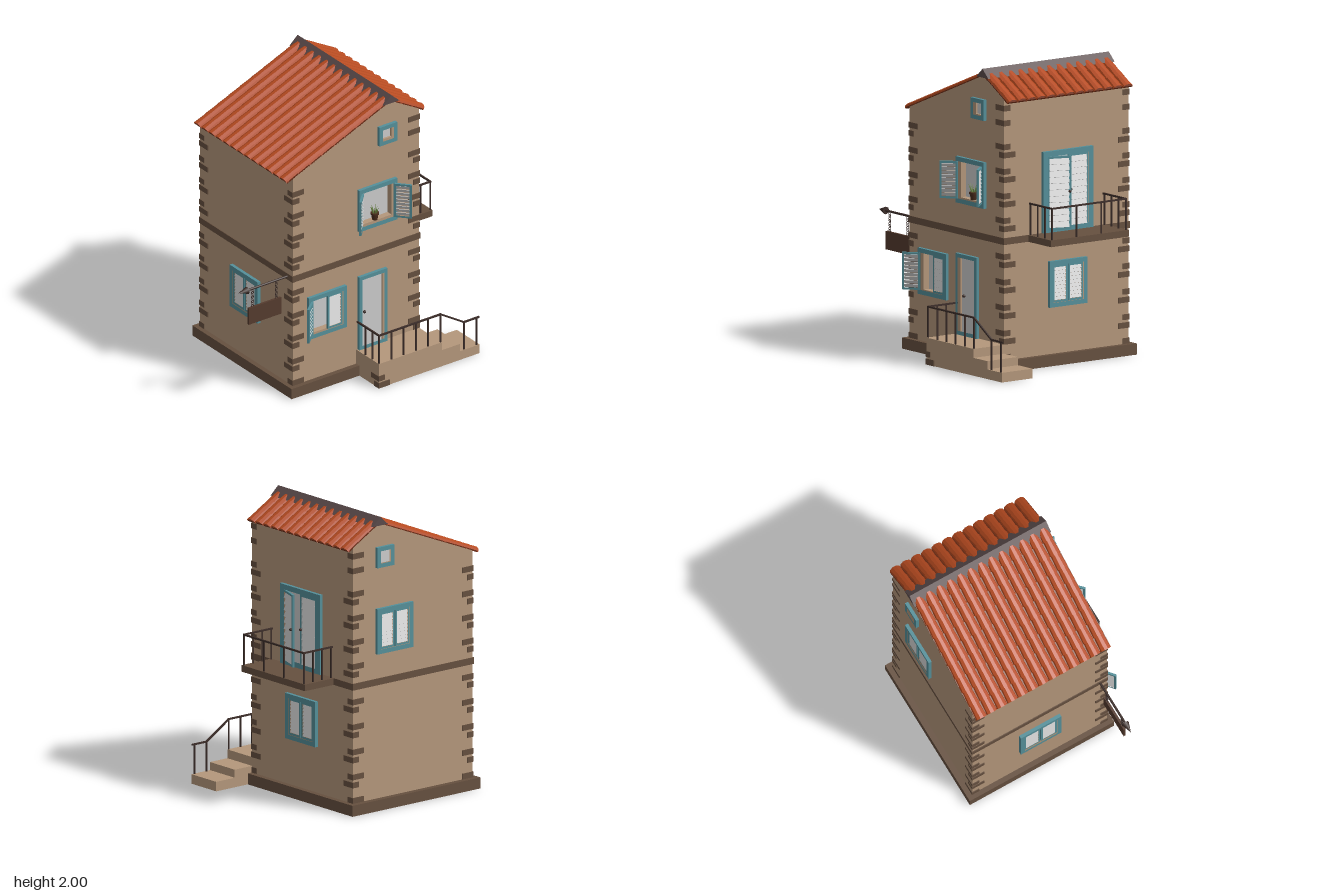
import * as THREE from 'three';
import { mergeGeometries } from 'three/addons/utils/BufferGeometryUtils.js';

const mat = (color, extra = {}) => Object.assign(new THREE.MeshStandardMaterial({ color }), extra);
const M = {
  wall: mat(0xb4977b), stone: mat(0x66503f), teal: mat(0x55909a), grey: mat(0xcccccc),
  tile: mat(0xb54a20, { flatShading: true, side: THREE.DoubleSide }), under: mat(0x6b2c16),
  ridge: mat(0x5a4a4a), iron: mat(0x3d2e2a), wood: mat(0x553b2e), pot: mat(0x4a2c1c),
  leaf: mat(0x5f7a38, { side: THREE.DoubleSide }),
};

function mesh(parent, name, geo, m, x = 0, y = 0, z = 0) {
  const o = new THREE.Mesh(geo, m);
  o.name = name;
  o.position.set(x, y, z);
  parent.add(o);
  return o;
}

// box given by its extents
const box = (parent, name, m, x0, x1, y0, y1, z0, z1) => mesh(parent, name,
  new THREE.BoxGeometry(x1 - x0, y1 - y0, z1 - z0), m, (x0 + x1) / 2, (y0 + y1) / 2, (z0 + z1) / 2);

function group(parent, name, x = 0, y = 0, z = 0, ry = 0) {
  const g = new THREE.Group();
  g.name = name;
  g.position.set(x, y, z);
  g.rotation.y = ry;
  parent.add(g);
  return g;
}

// square bar between two points
function bar(parent, name, a, b, t = 0.011) {
  const A = new THREE.Vector3(...a), B = new THREE.Vector3(...b);
  const o = mesh(parent, name, new THREE.BoxGeometry(t, t, A.distanceTo(B) + t), M.iron);
  o.position.addVectors(A, B).multiplyScalar(0.5);
  o.lookAt(B);
}

const rectPath = (x0, x1, y0, y1) => new THREE.Path([[x0, y0], [x0, y1], [x1, y1], [x1, y0]].map(p => new THREE.Vector2(...p)));
const extrude = (shape, depth) => new THREE.ExtrudeGeometry(shape, { depth, bevelEnabled: false });

// rectangular frame centred on its group, facing +z
function frame(parent, w, h, t, depth = 0.028) {
  const s = new THREE.Shape(rectPath(-w / 2, w / 2, -h / 2, h / 2).getPoints());
  s.holes.push(rectPath(t - w / 2, w / 2 - t, t - h / 2, h / 2 - t));
  return mesh(parent, 'frame', extrude(s, depth), M.teal, 0, 0, -0.005);
}

// louvred leaf hinged at its group's origin, reaching towards dir * x
function shutter(parent, x, z, w, h, dir, angle = 0, pitch = 0.025) {
  const hinge = group(parent, 'shutter', x, 0, z, angle);
  const leaf = group(hinge, 'louvredLeaf', dir * w / 2);
  frame(leaf, w, h, 0.014, 0.015);
  const n = Math.round((h - 0.028) / pitch), step = (h - 0.028) / n, slats = [];
  for (let i = 0; i < n; i++) {
    slats.push(new THREE.BoxGeometry(w - 0.028, step * 0.95, 0.004).rotateX(-0.4)
      .translate(0, -h / 2 + 0.014 + (i + 0.5) * step, 0.003));
  }
  mesh(leaf, 'slats', mergeGeometries(slats), M.grey);
  return leaf;
}

// window frame with two leaves; angles of null leave a leaf out
function shutteredWindow(parent, name, x, y, z, ry, left = 0, right = 0) {
  const g = group(parent, name, x, y, z, ry);
  frame(g, 0.31, 0.31, 0.03);
  shutter(g, -0.125, left ? 0.025 : 0.006, 0.122, 0.25, 1, left);
  shutter(g, 0.125, right ? 0.025 : 0.006, 0.122, 0.25, -1, right);
}

const X0 = -0.47, X1 = 0.565, Z0 = -0.625, Z1 = 0.405;

function buildWalls(house) {
  const outline = () => new THREE.Shape([[X0, 0], [X1, 0], [X1, 1.823], [0.335, 1.953], [X0, 1.626]].map(p => new THREE.Vector2(...p)));
  mesh(house, 'walls', extrude(outline(), 0.98), M.wall, 0, 0, Z0);
  const front = outline();
  const holes = [[0.09, 0.34, 1.1, 1.345], [-0.32, -0.075, 0.42, 0.67], [0.085, 0.265, 0.18, 0.7], [0.255, 0.34, 1.685, 1.765]];
  front.holes.push(...holes.map(h => rectPath(...h)));
  mesh(house, 'frontWall', extrude(front, 0.05), M.wall, 0, 0, 0.355);
  holes.forEach(h => box(house, 'pane', M.grey, ...h, 0.35, 0.36));
  box(house, 'plinth', M.stone, -0.505, 0.602, 0, 0.075, -0.665, 0.44);
  box(house, 'floorBand', M.stone, X0 - 0.006, X1 + 0.006, 0.85, 0.895, Z0 - 0.006, Z1 + 0.006);

  // corner stones alternate their long side between the two faces
  const quoins = group(house, 'cornerStones');
  for (const sx of [-1, 1]) for (const sz of [-1, 1]) {
    const cx = sx < 0 ? X0 : X1, cz = sz < 0 ? Z0 : Z1;
    const stone = (y, long) => {
      const w = long ? 0.09 : 0.05, d = long ? 0.05 : 0.09, e = 0.005;
      mesh(quoins, 'cornerStone', new THREE.BoxGeometry(w + e, 0.038, d + e), M.stone,
        cx - sx * (w - e) / 2, y, cz - sz * (d - e) / 2);
    };
    stone(0.095, true);
    for (let i = 0; i < 4; i++) {
      stone(0.255 + i * 0.171, true);
      stone(0.2 + i * 0.171, false);
      stone(1.01 + i * 0.165, true);
      stone(0.955 + i * 0.165, false);
    }
    if (sx > 0) { stone(1.665, true); stone(1.765, true); }
  }
}

function buildRoof(house) {
  const roof = group(house, 'roof');
  const rows = 13, pitch = 1.03 / rows;
  const side = (name, ex, ey, courses) => {
    const eave = new THREE.Vector3(ex, ey, 0), ridge = new THREE.Vector3(0.335, 1.955, 0);
    const len = eave.distanceTo(ridge), u = ridge.clone().sub(eave).normalize();
    const n = new THREE.Vector3(-u.y, u.x, 0).multiplyScalar(Math.sign(u.x));
    const g = group(roof, name, ex, ey, (Z0 + Z1) / 2);
    g.quaternion.setFromRotationMatrix(new THREE.Matrix4().makeBasis(u.clone().cross(n), u, n));
    mesh(g, 'roofBoard', new THREE.BoxGeometry(1.03, len, 0.01), M.under, 0, len / 2, 0);
    const step = len / courses, tiles = [];
    for (let r = 0; r < rows; r++) for (let c = 0; c < courses; c++) {
      tiles.push(new THREE.CylinderGeometry(0.034, 0.041, step * 1.1, 5, 1, true, -Math.PI / 2, Math.PI)
        .scale(1, 1, 0.75).rotateX(0.04).translate((r + 0.5 - rows / 2) * pitch, (c + 0.5) * step, 0.002));
    }
    mesh(g, 'tiles', mergeGeometries(tiles), M.tile);
  };
  side('longSlope', -0.515, 1.61, 9);
  side('shortSlope', 0.6, 1.805, 3);
  const cap = new THREE.Shape([[0.27, 1.94], [0.4, 1.94], [0.335, 1.999]].map(p => new THREE.Vector2(...p)));
  mesh(roof, 'ridgeCap', extrude(cap, 1.045), M.ridge, 0, 0, -0.634);
}

function buildOpenings(house) {
  const Q = Math.PI / 2;
  shutteredWindow(house, 'upperFrontWindow', 0.215, 1.22, Z1, 0, -2.35, 2.3);
  shutteredWindow(house, 'lowerFrontWindow', -0.198, 0.545, Z1, 0, -2.45, 0);
  shutteredWindow(house, 'upperBackWindow', 0.215, 1.22, Z0, Math.PI);
  shutteredWindow(house, 'leftSideWindow', X1, 0.545, -0.112, Q);
  shutteredWindow(house, 'rightSideWindow', X0, 0.545, -0.112, -Q);
  for (const [z, ry] of [[Z1, 0], [Z0, Math.PI]]) {
    const g = group(house, 'atticWindow', 0.298, 1.725, z, ry);
    frame(g, 0.145, 0.14, 0.028);
    box(g, 'pane', M.grey, -0.045, 0.045, -0.043, 0.043, -0.02, ry ? 0.004 : -0.015);
  }
  // front door
  const door = group(house, 'frontDoor', 0.175, 0.4525, Z1);
  frame(door, 0.23, 0.545, 0.026);
  box(door, 'doorLeaf', M.grey, -0.09, 0.09, -0.27, 0.248, -0.03, -0.012);
  mesh(door, 'doorKnob', new THREE.SphereGeometry(0.011, 10, 8), M.iron, -0.055, -0.012, -0.002);
  // balcony doors, one leaf ajar
  const bd = group(house, 'balconyDoor', X1, 1.1675, -0.11, Q);
  frame(bd, 0.41, 0.545, 0.036);
  box(bd, 'pane', M.grey, -0.17, 0.17, -0.25, 0.237, -0.01, 0.003);
  for (const dir of [1, -1]) {
    const leaf = shutter(bd, -dir * 0.168, 0.012, 0.166, 0.495, dir, dir > 0 ? -0.33 : 0, 0.042);
    leaf.position.y = -0.01;
    mesh(leaf, 'doorKnob', new THREE.SphereGeometry(0.01, 10, 8), M.iron, dir * 0.07, 0.01, 0.018);
  }
  // potted plant on the sill
  const plant = group(house, 'pottedPlant', 0.212, 1.1, 0.392);
  mesh(plant, 'pot', new THREE.CylinderGeometry(0.025, 0.018, 0.045, 12), M.pot, 0, 0.022, 0);
  mesh(plant, 'potRim', new THREE.CylinderGeometry(0.029, 0.029, 0.012, 12), M.pot, 0, 0.045, 0);
  for (let i = 0; i < 8; i++) {
    const a = i * 2.4, h = 0.05 + (i % 3) * 0.014;
    const leaf = mesh(plant, 'leaf', new THREE.ConeGeometry(0.006, h, 4).translate(0, h / 2, 0), M.leaf, Math.sin(a) * 0.01, 0.045, Math.cos(a) * 0.01);
    leaf.rotation.set(Math.cos(a) * 0.35, 0, -Math.sin(a) * 0.35);
  }
}

function buildBalcony(house) {
  const g = group(house, 'balcony');
  box(g, 'balconySlab', M.stone, X1, 0.82, 0.85, 0.895, -0.435, 0.21);
  const y0 = 0.89, y1 = 1.105, xo = 0.812, za = -0.415, zb = 0.195;
  bar(g, 'handrail', [xo, y1, za], [xo, y1, zb]);
  for (let i = 1; i < 3; i++) bar(g, 'railPost', [xo, y0, za + (zb - za) * i / 3], [xo, y1, za + (zb - za) * i / 3], 0.009);
  for (const z of [za, zb]) {
    bar(g, 'handrail', [X1, y1, z], [xo, y1, z]);
    for (const x of [0.577, 0.655, 0.733, xo]) bar(g, 'railPost', [x, y0, z], [x, y1, z], 0.009);
  }
}

function buildPorch(house) {
  const g = group(house, 'porch');
  [[0.05, X1, 0.18], [X1, 0.715, 0.12], [0.715, 0.875, 0.065]].forEach(([a, b, h]) => box(g, 'step', M.wall, a, b, 0, h, Z1, 0.658));
  box(g, 'cornerStone', M.stone, 0.045, 0.135, 0, 0.04, 0.61, 0.663);
  box(g, 'cornerStone', M.stone, 0.045, 0.095, 0.052, 0.09, 0.575, 0.663);
  const z = 0.65, path = [[0.057, 0.388, 0.412], [0.057, 0.388, z], [0.56, 0.388, z], [0.752, 0.268, z], [0.872, 0.268, z]];
  for (let i = 1; i < path.length; i++) bar(g, 'handrail', path[i - 1], path[i]);
  for (let i = 0; i < 6; i++) bar(g, 'railPost', [0.057 + i * 0.1005, 0.18, z], [0.057 + i * 0.1005, 0.388, z], 0.009);
  for (const pz of [0.5, 0.575]) bar(g, 'railPost', [0.057, 0.18, pz], [0.057, 0.388, pz], 0.009);
  for (const x of [0.752, 0.856]) bar(g, 'railPost', [x, 0.065, z], [x, 0.268, z], 0.009);
}

function buildSign(house) {
  const g = group(house, 'hangingSign', 0, 0, 0.35);
  mesh(g, 'signPole', new THREE.CylinderGeometry(0.008, 0.008, 0.35, 8).rotateZ(Math.PI / 2), M.iron, -0.64, 0.873, 0);
  mesh(g, 'arrowTip', new THREE.ConeGeometry(0.026, 0.075, 8).rotateZ(Math.PI / 2), M.iron, -0.84, 0.873, 0);
  box(g, 'signBoard', M.wood, -0.795, -0.53, 0.615, 0.738, -0.008, 0.008);
  for (const x of [-0.76, -0.565]) for (let i = 0; i < 8; i++) {
    const link = mesh(g, 'chainLink', new THREE.TorusGeometry(0.009, 0.0025, 5, 10), M.iron, x, 0.744 + i * 0.0165, 0);
    link.rotation.y = (i % 2) * Math.PI / 2;
  }
}

export function createModel() {
  const house = new THREE.Group();
  house.name = 'townHouse';
  [buildWalls, buildRoof, buildOpenings, buildBalcony, buildPorch, buildSign].forEach(f => f(house));
  return house;
}
